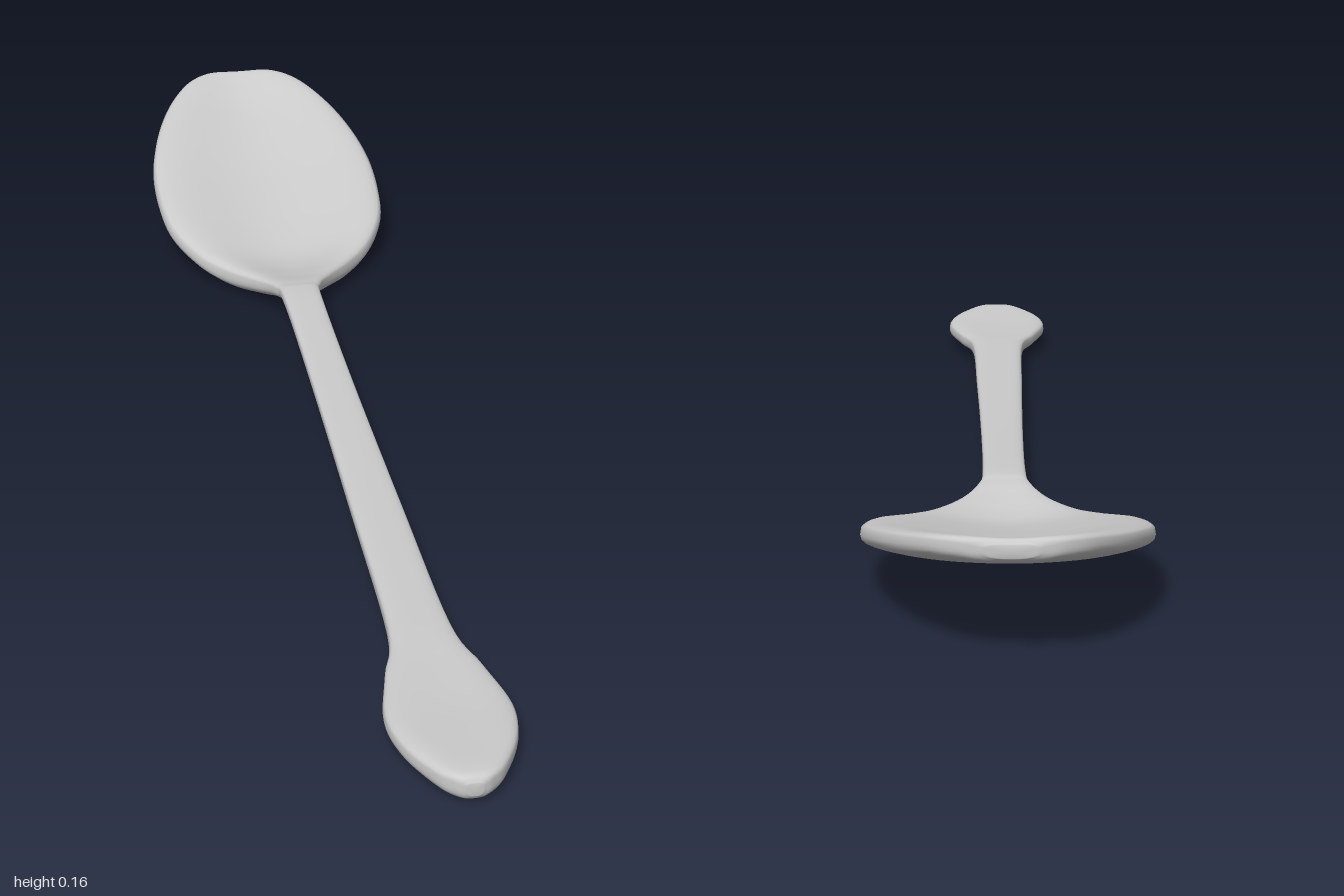
import * as THREE from 'three';

// Stations from bowl tip to handle end: [z, half width, rim height, underside height, bowl hollow]
const STATIONS = [
  [-1.0, 0.03, 0.15, 0.134, 0],
  [-0.99, 0.064, 0.159, 0.126, 0.003],
  [-0.96, 0.1, 0.157, 0.117, 0.012],
  [-0.9, 0.136, 0.145, 0.101, 0.02],
  [-0.82, 0.165, 0.128, 0.082, 0.024],
  [-0.73, 0.183, 0.108, 0.061, 0.026],
  [-0.64, 0.185, 0.089, 0.041, 0.026],
  [-0.56, 0.174, 0.072, 0.024, 0.025],
  [-0.49, 0.142, 0.056, 0.009, 0.02],
  [-0.44, 0.103, 0.049, 0.001, 0.012],
  [-0.39, 0.063, 0.05, 0.012, 0.004],
  [-0.34, 0.037, 0.057, 0.029, 0],
  [-0.28, 0.03, 0.061, 0.037, 0],
  [0.0, 0.031, 0.053, 0.031, 0],
  [0.35, 0.036, 0.046, 0.021, 0],
  [0.65, 0.042, 0.042, 0.012, 0],
  [0.75, 0.064, 0.041, 0.009, 0.002],
  [0.84, 0.082, 0.041, 0.006, 0.003],
  [0.91, 0.073, 0.042, 0.005, 0.002],
  [0.97, 0.045, 0.042, 0.004, 0],
  [0.992, 0.025, 0.04, 0.006, 0],
  [1.0, 0.01, 0.032, 0.014, 0],
];
const RINGS = 126, SIDES = 48;

// Smooth curves through the stations; both share the same z
const spline = (pick) => new THREE.CatmullRomCurve3(
  STATIONS.map(pick), false, 'catmullrom', 0.5);

function spoonGeometry() {
  const outline = spline(([z, w, top]) => new THREE.Vector3(w, top, z));
  const underside = spline(([z, , , bottom, hollow]) => new THREE.Vector3(bottom, hollow, z));
  const positions = [], index = [];

  for (let i = 0; i <= RINGS; i++) {
    const { x: w, y: top, z } = outline.getPoint(i / RINGS);
    const { x: bottom, y: hollow } = underside.getPoint(i / RINGS);
    const mid = bottom + (top - bottom) * 0.55;
    for (let j = 0; j < SIDES; j++) {
      const a = (j / SIDES) * Math.PI * 2;
      const u = Math.cos(a), v = Math.abs(u);
      // Flat, hollowed upper face; rounder lower face
      const y = Math.sin(a) >= 0
        ? mid + (top - mid) * (1 - v ** 4) ** 0.25 - Math.max(hollow, 0) * (1 - v * v) ** 2
        : mid - (mid - bottom) * (1 - v ** 2.6) ** (1 / 2.6);
      positions.push(u * w, y, z);
    }
  }

  // Skin between neighbouring rings
  for (let i = 0; i < RINGS; i++) {
    for (let j = 0; j < SIDES; j++) {
      const k = (j + 1) % SIDES;
      const a = i * SIDES + j, b = i * SIDES + k;
      index.push(a, b, a + SIDES, b, b + SIDES, a + SIDES);
    }
  }

  // Close both ends
  const last = RINGS * SIDES, center = positions.length / 3;
  positions.push(0, 0.142, -1, 0, 0.023, 1);
  for (let j = 0; j < SIDES; j++) {
    const k = (j + 1) % SIDES;
    index.push(center, k, j, center + 1, last + j, last + k);
  }

  const geometry = new THREE.BufferGeometry();
  geometry.setAttribute('position', new THREE.Float32BufferAttribute(positions, 3));
  geometry.setIndex(index);
  geometry.computeVertexNormals();
  return geometry;
}

export function createModel() {
  const group = new THREE.Group();
  group.name = 'spoon';
  const material = new THREE.MeshStandardMaterial({ color: 0xcccccc });
  const body = new THREE.Mesh(spoonGeometry(), material);
  body.name = 'bowlAndHandle';
  group.add(body);
  return group;
}
